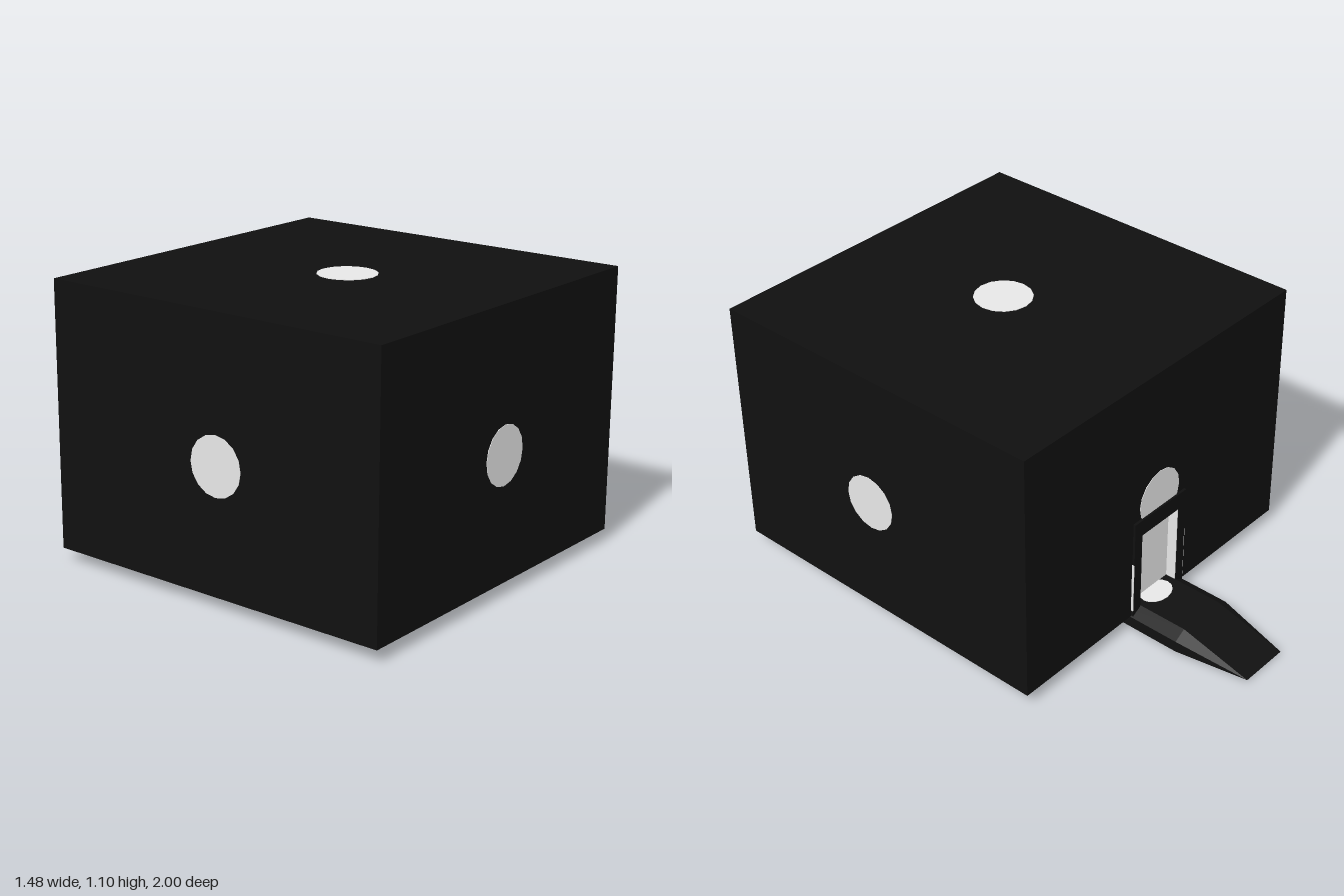
import * as THREE from 'three';
import { ConvexGeometry } from 'three/addons/geometries/ConvexGeometry.js';

export function createModel() {
  const model = new THREE.Group();
  const black = new THREE.MeshStandardMaterial({ color: 0x101010 });
  black.name = 'black';
  const white = new THREE.MeshStandardMaterial({ color: 0xe7e7e7 });
  white.name = 'white';

  const add = (name, geometry, material, x = 0, y = 0, z = 0) => {
    const mesh = new THREE.Mesh(geometry, material);
    mesh.name = name;
    mesh.position.set(x, y, z);
    model.add(mesh);
    return mesh;
  };
  const box = (name, material, x0, x1, y0, y1, z0, z1) =>
    add(name, new THREE.BoxGeometry(x1 - x0, y1 - y0, z1 - z0), material,
      (x0 + x1) / 2, (y0 + y1) / 2, (z0 + z1) / 2);

  // Upright plate with a doorway cut out of its lower edge
  const doorOuter = 0.108, doorTop = 0.42;
  const doorway = (name, halfWidth, bottom, top, z0, z1) => {
    const shape = new THREE.Shape([
      [-halfWidth, bottom], [-doorOuter, bottom], [-doorOuter, doorTop], [doorOuter, doorTop],
      [doorOuter, bottom], [halfWidth, bottom], [halfWidth, top], [-halfWidth, top],
    ].map(([x, y]) => new THREE.Vector2(x, y)));
    add(name, new THREE.ExtrudeGeometry(shape, { depth: z1 - z0, bevelEnabled: false }), black, 0, 0, z0);
  };

  // Block-shaped building with a recessed door at the back
  box('buildingBody', black, -0.74, 0.74, 0.05, 1.095, -0.44, 1);
  doorway('backWall', 0.74, 0.05, 1.095, -0.48, -0.44);
  doorway('doorFrame', 0.15, 0.05, 0.49, -0.49, -0.48);

  // Pale lining of the door recess
  box('doorPanel', white, -doorOuter, doorOuter, 0.08, doorTop, -0.446, -0.44);
  box('doorHeadLining', white, -doorOuter, doorOuter, doorTop - 0.003, doorTop, -0.488, -0.446);
  for (const side of [-1, 1]) {
    const inner = side * (doorOuter - 0.0015);
    add('doorSideLining', new THREE.BoxGeometry(0.003, 0.335, 0.042), white, inner, 0.2475, -0.467);
    add('doorFrameStrip', new THREE.BoxGeometry(0.003, 0.22, 0.01), white, side * 0.1505, 0.19, -0.485);
  }

  // Round plates, one on each face of the building
  const disc = new THREE.CylinderGeometry(0.115, 0.115, 0.004, 16);
  add('topDisc', disc, white, 0, 1.095, 0.295);
  add('bottomDisc', disc, white, 0, 0.05, 0.295);
  add('frontDisc', disc, white, 0, 0.54, 0.998).rotation.x = Math.PI / 2;
  model.getObjectByName('frontDisc').position.z = 1;
  add('backDisc', disc, white, 0, 0.54, -0.48).rotation.x = Math.PI / 2;
  for (const side of [-1, 1]) {
    add('sideDisc', disc, white, side * 0.74, 0.54, 0.295).rotation.z = Math.PI / 2;
  }

  // Chamfered entrance ramp, tapering to the ground
  const base = 0.003;
  const points = [];
  for (const side of [-1, 1]) {
    for (const z of [-0.25, -0.7]) {
      for (const [x, y] of [[0.155, base], [0.155, 0.05], [0.105, 0.08]]) {
        points.push(new THREE.Vector3(side * x, y, z));
      }
    }
    points.push(new THREE.Vector3(side * 0.105, base, -1));
  }
  add('entranceRamp', new ConvexGeometry(points), black);

  // Small oval plates above and below the ramp at the threshold
  const oval = new THREE.CylinderGeometry(0.075, 0.075, 0.004, 16).scale(1, 1, 0.75);
  add('thresholdOval', oval, white, 0, 0.08, -0.48);
  add('undersideOval', oval, white, 0, 0.002, -0.48).scale.set(0.87, 1, 1);

  return model;
}
